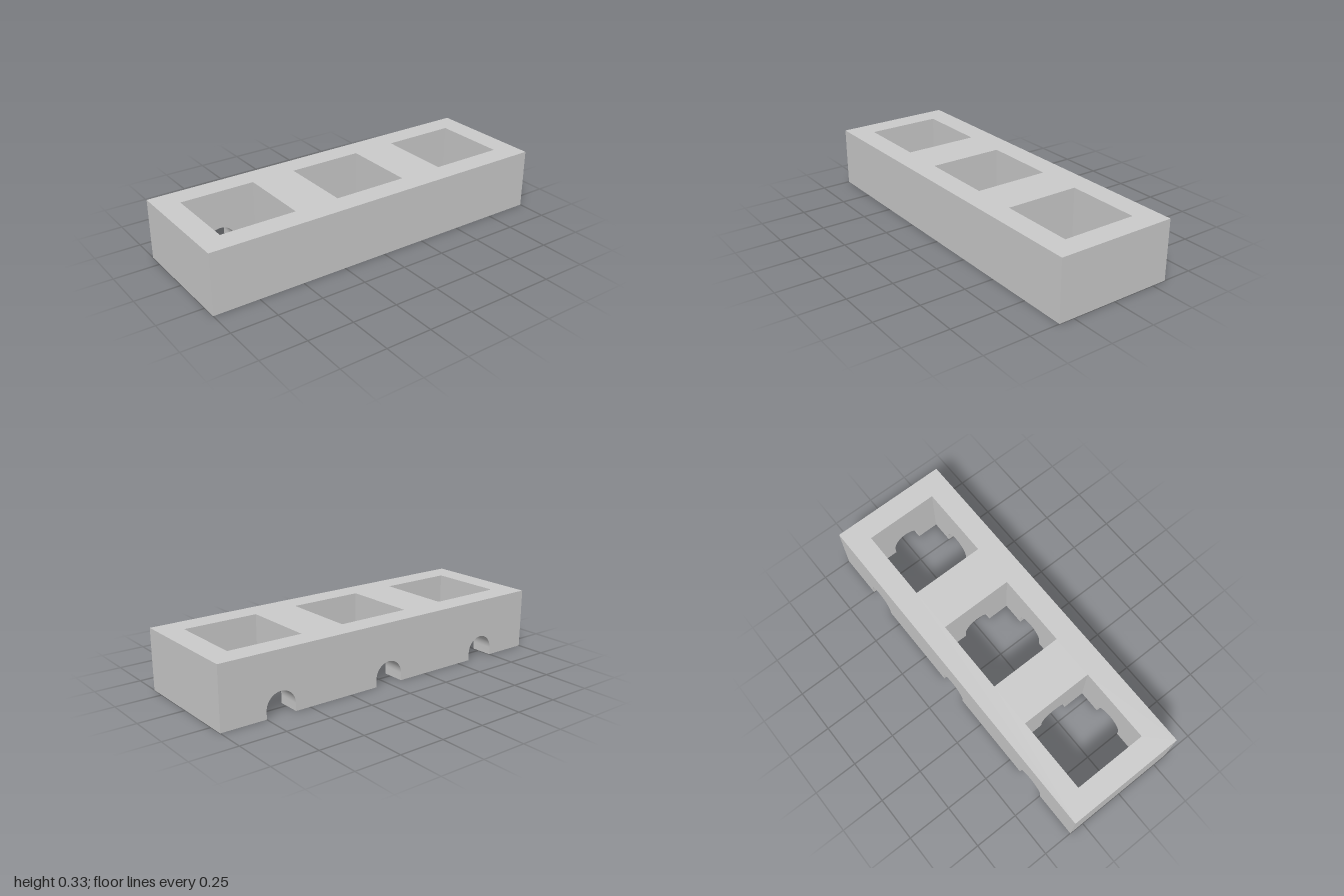
import * as THREE from 'three';

const U = 1 / 24; // modelling unit
const H = 8, HALF_W = 8, HALF_L = 24; // block size in units
const POCKET = 5, PITCH = 16; // half width and spacing of the square pockets

// Arch profile: straight legs of 1 unit under a half circle of radius 2
const arch = [[-2, 0]];
for (let i = 0; i <= 24; i++) {
  const a = Math.PI * (1 - i / 24);
  arch.push([2 * Math.cos(a), 1 + 2 * Math.sin(a)]);
}
arch.push([2, 0]);

const material = new THREE.MeshStandardMaterial({ color: 0xcccccc });

function flat(points, holes = []) {
  const toShape = (list) => new THREE.Shape(list.map(([x, y]) => new THREE.Vector2(x, y)));
  const shape = toShape(points);
  shape.holes = holes.map(toShape);
  return new THREE.ShapeGeometry(shape);
}

function rect(x0, x1, y0, y1) {
  return [[x0, y0], [x1, y0], [x1, y1], [x0, y1]];
}

// Upright wall with arch notches cut in its lower edge
function archedWall(half, centres) {
  const notches = centres.flatMap((c) => arch.map(([x, y]) => [x + c, y]));
  return flat([[-half, 0], ...notches, [half, 0], [half, H], [-half, H]]);
}

// Inner surface of an arched channel running along z
function channelSurface(z0, z1) {
  const n = arch.length - 1;
  const geometry = new THREE.PlaneGeometry(1, 1, n, 1);
  const pos = geometry.attributes.position;
  for (let i = 0; i < pos.count; i++) {
    const [x, y] = arch[i % (n + 1)];
    pos.setXYZ(i, x, y, i <= n ? z1 : z0);
  }
  geometry.computeVertexNormals();
  return geometry;
}

// Underside: outline broken by the channel network, plus two islands
function undersideShapes() {
  const outline = [[-8, -24], [8, -24], [8, 24], [-8, 24],
    [-8, 18], [-5, 18], [-5, 21], [-2, 21], [-2, 23], [2, 23]];
  for (const c of [PITCH, 0, -PITCH]) {
    outline.push([2, c + 5], [5, c + 5], [5, c + 2], [7, c + 2],
      [7, c - 2], [5, c - 2], [5, c - 5], [2, c - 5]);
  }
  outline.push([2, -23], [-2, -23], [-2, -21], [-5, -21], [-5, -18], [-8, -18]);
  const island = (c) => [[-8, c - 6], [-5, c - 6], [-5, c - 3], [-2, c - 3],
    [-2, c + 3], [-5, c + 3], [-5, c + 6], [-8, c + 6]];
  return [outline, island(-8), island(8)];
}

export function createModel() {
  const model = new THREE.Group();
  model.name = 'channelledBlock';
  const block = new THREE.Group();
  block.name = 'block';
  block.scale.setScalar(U);
  model.add(block);

  const add = (parent, name, geometry) => {
    const mesh = new THREE.Mesh(geometry, material);
    mesh.name = name;
    parent.add(mesh);
    return mesh;
  };
  const centres = [-PITCH, 0, PITCH];

  // Top face with three square openings
  const openings = centres.map((c) => rect(-POCKET, POCKET, c - POCKET, c + POCKET));
  add(block, 'topFace', flat(rect(-HALF_W, HALF_W, -HALF_L, HALF_L), openings)
    .rotateX(-Math.PI / 2).translate(0, H, 0));

  // Underside
  for (const points of undersideShapes()) {
    add(block, 'underside', flat(points).rotateX(Math.PI / 2));
  }

  // Outer sides: plain on three, arched outlets on the -x side
  add(block, 'frontSide', flat(rect(-HALF_W, HALF_W, 0, H)).translate(0, 0, HALF_L));
  add(block, 'backSide', flat(rect(-HALF_W, HALF_W, 0, H)).rotateY(Math.PI).translate(0, 0, -HALF_L));
  add(block, 'plainSide', flat(rect(-HALF_L, HALF_L, 0, H)).rotateY(Math.PI / 2).translate(HALF_W, 0, 0));
  add(block, 'outletSide', archedWall(HALF_L, centres).rotateY(-Math.PI / 2).translate(-HALF_W, 0, 0));

  // Pockets: four arched walls each, with channels leading outward
  centres.forEach((c, index) => {
    const pocket = new THREE.Group();
    pocket.name = 'pocket';
    pocket.position.z = c;
    block.add(pocket);
    // Channel lengths toward +z, +x, -z, -x; the +z one links to the next pocket
    const lengths = [index < 2 ? 6 : 2, 2, index > 0 ? 0 : 2, 3];
    lengths.forEach((length, k) => {
      const side = new THREE.Group();
      side.name = 'pocketSide';
      side.rotation.y = k * Math.PI / 2;
      pocket.add(side);
      add(side, 'pocketWall', archedWall(POCKET, [0]).rotateY(Math.PI).translate(0, 0, POCKET));
      if (length) add(side, 'channel', channelSurface(POCKET, POCKET + length));
      // Blind channels are closed by an end wall
      if (length === 2) {
        add(side, 'channelEnd', flat(arch).rotateY(Math.PI).translate(0, 0, POCKET + length));
      }
    });
  });
  return model;
}
